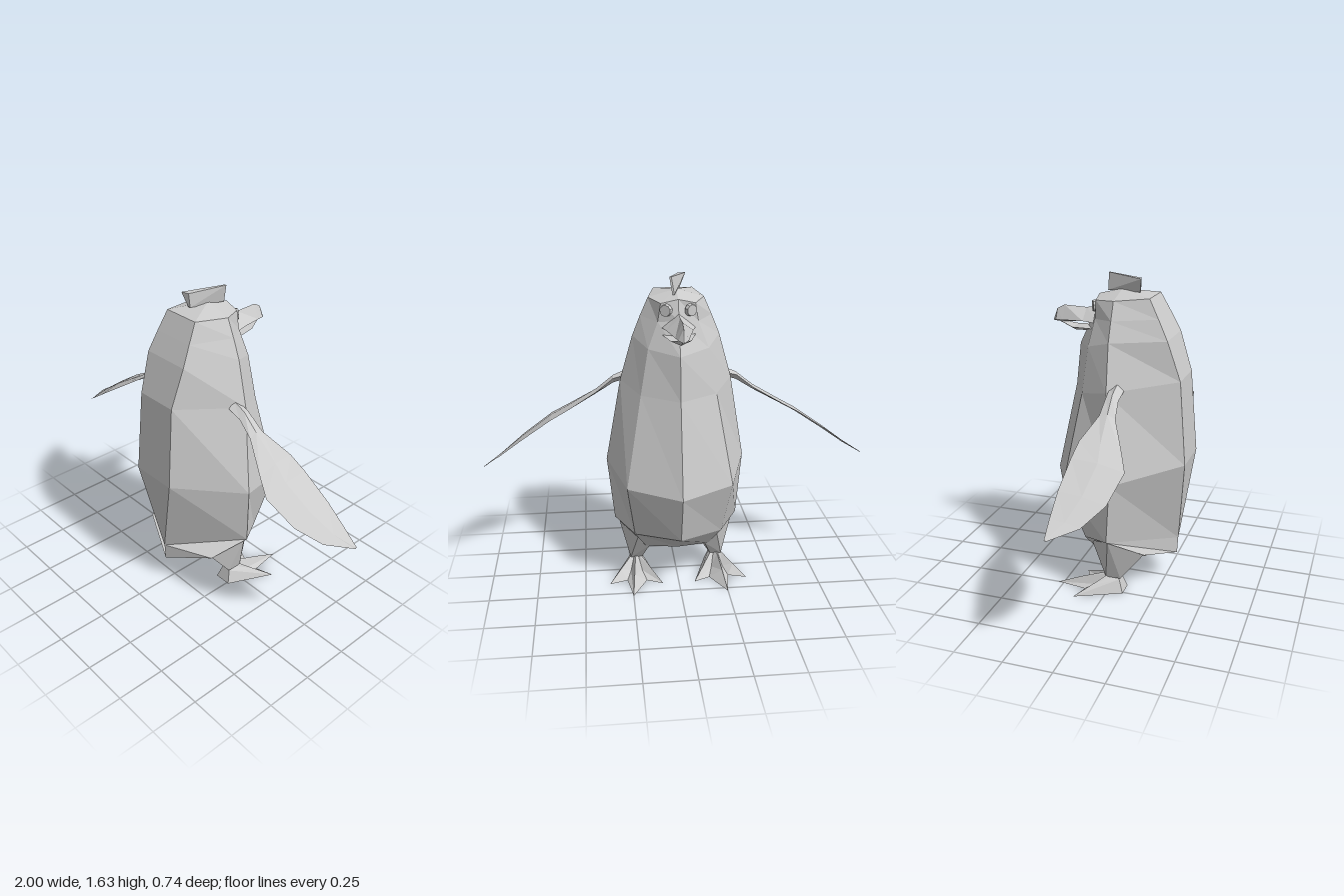
import * as THREE from 'three';
import { ConvexGeometry } from 'three/addons/geometries/ConvexGeometry.js';

const material = new THREE.MeshStandardMaterial({ color: 0xcccccc, flatShading: true });

function named(geometry, name) {
  const mesh = new THREE.Mesh(geometry, material);
  mesh.name = name;
  return mesh;
}

// Faceted closed skin through a list of equal-length rings, capped by fans
// around the ring centres (or around given points), always facing outwards.
function loft(rings, startTip, endTip) {
  const n = rings[0].length;
  const centre = (ring) => [0, 1, 2].map((k) => ring.reduce((sum, p) => sum + p[k], 0) / n);
  const first = startTip || centre(rings[0]);
  const last = endTip || centre(rings[rings.length - 1]);
  const tris = [];
  for (let i = 0; i < n; i++) {
    const j = (i + 1) % n;
    tris.push([first, rings[0][j], rings[0][i]]);
    for (let r = 0; r + 1 < rings.length; r++) {
      const a = rings[r], b = rings[r + 1];
      tris.push([a[i], a[j], b[j]], [a[i], b[j], b[i]]);
    }
    const top = rings[rings.length - 1];
    tris.push([last, top[i], top[j]]);
  }
  let volume = 0;
  const [A, B, C] = [0, 0, 0].map(() => new THREE.Vector3());
  for (const [a, b, c] of tris) volume += A.fromArray(a).dot(B.fromArray(b).cross(C.fromArray(c)));
  if (volume < 0) tris.forEach((t) => t.reverse());
  const geometry = new THREE.BufferGeometry();
  geometry.setAttribute('position', new THREE.Float32BufferAttribute(tris.flat(2), 3));
  geometry.computeVertexNormals();
  return geometry;
}

const hull = (points) => new ConvexGeometry(points.map((p) => new THREE.Vector3(...p)));

// Body and head: each level holds breast ridge, breast corner, flank and back corner
function makeBody() {
  const levels = [
    [[0, 0.18, -0.1], [0.17, 0.18, -0.07], [0.25, 0.24, 0.2], [0, 0.15, 0.31]],
    [[0, 0.31, -0.28], [0.23, 0.285, -0.13], [0.33, 0.32, 0.02], [0, 0.24, 0.315]],
    [[0, 0.57, -0.36], [0.27, 0.59, -0.23], [0.365, 0.65, 0.05], [0.125, 0.71, 0.37]],
    [[0, 1.05, -0.25], [0.19, 1.06, -0.15], [0.285, 1.1, 0.01], [0.115, 1.14, 0.335]],
    [[0, 1.27, -0.225], [0.15, 1.29, -0.13], [0.22, 1.33, 0], [0.13, 1.34, 0.27]],
    [[0, 1.43, -0.15], [0.1, 1.42, -0.11], [0.18, 1.43, 0], [0.115, 1.44, 0.22]],
    [[0, 1.53, -0.12], [0.085, 1.51, -0.11], [0.14, 1.52, 0], [0.1, 1.535, 0.17]],
  ];
  const rings = levels.map(([f, c, s, b]) =>
    [f, c, s, b, ...[b, s, c].map(([x, y, z]) => [-x, y, z])]);
  return named(loft(rings, [0, 0.135, 0.1], [0, 1.56, 0]), 'body');
}

// Beak half from [z, ridge y, half width, keel y] sections; edgeY places the side edges
function makeBeak(name, sections, edge) {
  const rings = sections.map(([z, top, w, low]) => {
    const y = low + (top - low) * edge;
    return [[0, top, z], [w, y, z], [0, low, z], [-w, y, z]];
  });
  return named(loft(rings), name);
}

// Thin flipper from [x, front z, front y, back z, back y, thickness] sections
function makeFlipper(s) {
  const sections = [
    [0.25, 0.02, 1.12, 0.09, 1.11, 0.05],
    [0.32, 0.025, 1.1, 0.085, 1.08, 0.04],
    [0.41, 0.02, 1.03, 0.1, 1.02, 0.025],
    [0.56, -0.025, 0.95, 0.18, 0.92, 0.02],
    [0.65, -0.03, 0.9, 0.225, 0.86, 0.02],
    [0.8, -0.035, 0.8, 0.19, 0.76, 0.015],
    [0.91, -0.03, 0.72, 0.11, 0.69, 0.01],
    [1, -0.02, 0.66, -0.01, 0.655, 0.003],
  ];
  const rings = sections.map(([x, zf, yf, zb, yb, t]) => {
    const z = (zf + zb) / 2, y = (yf + yb) / 2;
    return [[s * x, yf, zf], [s * x, y + t / 2, z], [s * x, yb, zb], [s * x, y - t / 2, z]];
  });
  return named(loft(rings), 'flipper');
}

function makeLeg(s) {
  return named(hull([
    [0.31, 0.31, 0.02], [0.25, 0.24, 0.195], [0.13, 0.135, 0.1],
    [0.15, 0.18, -0.07], [0.21, 0.26, -0.1],
    [0.25, 0.08, 0.07], [0.19, 0.08, 0.07], [0.19, 0.08, -0.01], [0.25, 0.08, -0.01],
  ].map(([x, y, z]) => [s * x, y, z])), 'leg');
}

// Webbed foot: ground outline with three splayed toes, a ridge ring and the ankle
function makeFoot(s) {
  // [x, z, ridge height]
  const outline = [
    [0.17, 0.085, 0.07], [0.085, -0.17, 0.045], [0.17, -0.13, 0.025], [0.25, -0.28, 0.05],
    [0.275, -0.12, 0.025], [0.37, -0.15, 0.045], [0.26, 0.085, 0.07],
  ];
  const toward = (k, height) => outline.map(([x, z, h]) =>
    [s * (x + (0.22 - x) * k), height ?? h, z + (0.03 - z) * k]);
  return named(loft([toward(0, 0), toward(0.42), toward(0.8, 0.088)]), 'foot');
}

function makeEye(s) {
  const geometry = new THREE.CylinderGeometry(0.028, 0.032, 0.02, 10).rotateX(-Math.PI / 2);
  const eye = named(geometry, 'eye');
  eye.position.set(s * 0.062, 1.478, -0.124);
  eye.rotation.y = -s * 0.5;
  return eye;
}

export function createModel() {
  const model = new THREE.Group();
  model.name = 'penguin';
  model.add(makeBody());

  model.add(makeBeak('upperBeak', [
    [-0.1, 1.47, 0.09, 1.38], [-0.19, 1.455, 0.065, 1.385], [-0.31, 1.46, 0.035, 1.375],
    [-0.35, 1.44, 0.025, 1.375], [-0.37, 1.385, 0.006, 1.378],
  ], 0.15));
  model.add(makeBeak('lowerBeak', [
    [-0.08, 1.37, 0.1, 1.34], [-0.25, 1.36, 0.05, 1.335], [-0.34, 1.382, 0.008, 1.376],
  ], 0.9));

  // Slanted tuft on the crown, widening upwards
  model.add(named(hull([
    [0.04, 1.632, -0.08], [0.03, 1.632, -0.08], [-0.06, 1.62, 0.115], [-0.02, 1.62, 0.105],
    [0.025, 1.545, -0.08], [0.015, 1.545, -0.08], [-0.03, 1.55, 0.1], [-0.015, 1.55, 0.1],
  ]), 'crest'));

  for (const s of [1, -1]) {
    const side = new THREE.Group();
    side.name = s > 0 ? 'leftSide' : 'rightSide';
    side.add(makeFlipper(s), makeLeg(s), makeFoot(s), makeEye(s));
    model.add(side);
  }
  return model;
}
